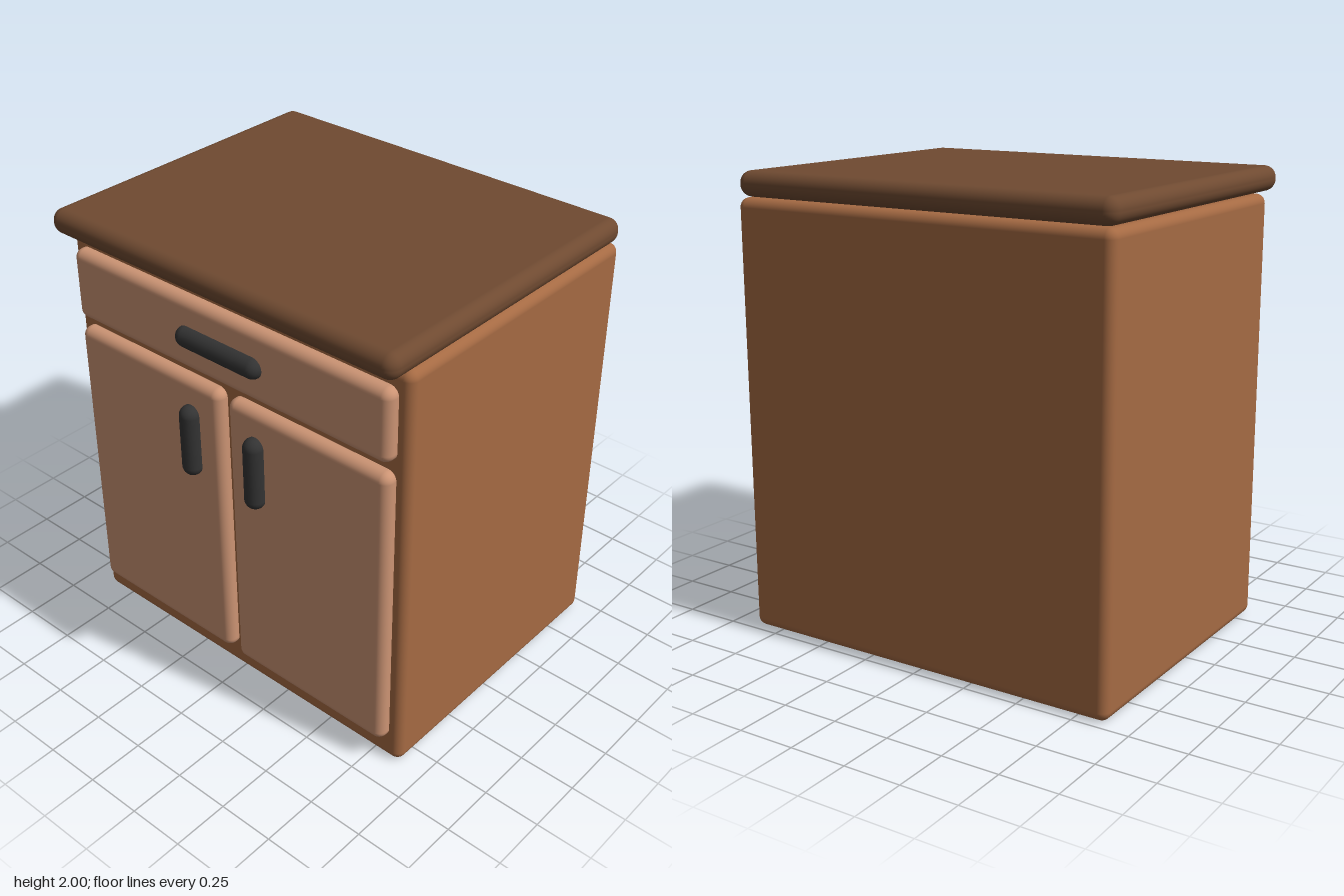
import * as THREE from 'three';
import { RoundedBoxGeometry } from 'three/addons/geometries/RoundedBoxGeometry.js';

const material = (color) => new THREE.MeshStandardMaterial({ color });

export function createModel() {
  const model = new THREE.Group();
  model.name = 'cabinet';
  const wood = material(0xa56a43);
  const darkWood = material(0x6f4a31);
  const lightWood = material(0xcc9474);
  const black = material(0x333333);

  const add = (name, geometry, mat, x, y, z) => {
    const mesh = new THREE.Mesh(geometry, mat);
    mesh.name = name;
    mesh.position.set(x, y, z);
    model.add(mesh);
    return mesh;
  };
  const box = (name, [w, h, d], radius, mat, x, y, z) =>
    add(name, new RoundedBoxGeometry(w, h, d, 5, radius), mat, x, y, z);

  // Carcass and worktop
  box('body', [1.774, 1.888, 1.334], 0.04, wood, 0, 0.946, -0.055);
  box('worktop', [1.776, 0.108, 1.444], 0.05, darkWood, 0, 1.946, 0);

  // Drawer with a horizontal pill handle
  box('drawerFront', [1.666, 0.316, 0.11], 0.04, lightWood, 0, 1.662, 0.612);
  const drawerHandle = add('drawerHandle', new THREE.CapsuleGeometry(0.045, 0.354, 8, 20), black, 0, 1.662, 0.667);
  drawerHandle.rotation.z = Math.PI / 2;

  // Mirrored doors with vertical pill handles near the centre
  for (const [side, s] of [['left', 1], ['right', -1]]) {
    box(side + 'Door', [0.811, 1.333, 0.11], 0.04, lightWood, s * 0.4265, 0.791, 0.612);
    add(side + 'DoorHandle', new THREE.CapsuleGeometry(0.045, 0.242, 8, 20), black, s * 0.176, 1.18, 0.677);
  }
  return model;
}
